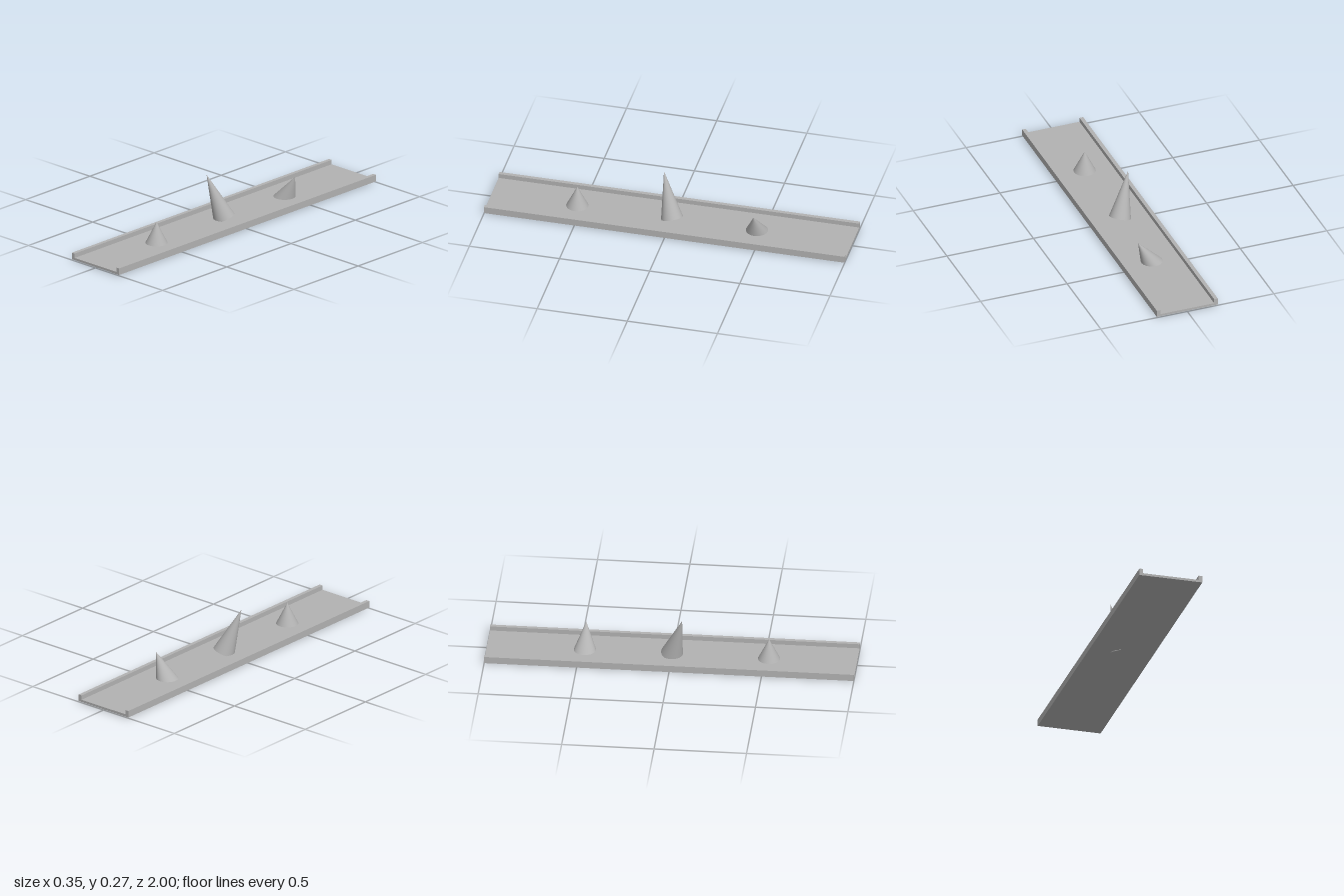
import * as THREE from 'three';

export function createModel() {
  const group = new THREE.Group();
  const grey = new THREE.MeshStandardMaterial({ color: 0xb2b2b2 });
  grey.name = 'grey';

  const add = (name, geometry) => {
    const mesh = new THREE.Mesh(geometry, grey);
    mesh.name = name;
    group.add(mesh);
    return mesh;
  };

  // Long shallow channel: floor and two raised rims in one U-shaped section
  const w = 0.176, inner = 0.155, bottom = 0.004, floor = 0.017, rim = 0.042;
  const section = new THREE.Shape([
    [-w, bottom], [w, bottom], [w, rim], [inner, rim],
    [inner, floor], [-inner, floor], [-inner, rim], [-w, rim],
  ].map(([x, y]) => new THREE.Vector2(x, y)));
  const channel = new THREE.ExtrudeGeometry(section, { depth: 2, bevelEnabled: false });
  channel.translate(0, 0, -1);
  add('channel', channel);

  // Cone with its base centre at the origin
  const cone = (height) =>
    new THREE.ConeGeometry(0.06, height, 48).translate(0, height / 2, 0);

  // Upright front spike
  add('frontSpike', cone(0.12)).position.set(0, 0.017, 0.525);

  // Tall middle spike, tilted as a whole
  const lean = new THREE.Vector3(-0.071, 0.244, 0.062);
  const middle = add('middleSpike', cone(lean.length()));
  middle.position.set(0, 0.021, 0);
  middle.quaternion.setFromUnitVectors(new THREE.Vector3(0, 1, 0), lean.normalize());

  // Back spike, slanted sideways over a level base
  const slanted = cone(0.13);
  slanted.applyMatrix4(new THREE.Matrix4().makeShear(0, 0, 0.079 / 0.13, 0, 0, 0));
  const p = slanted.attributes.position;
  // Keep the slant along +x whatever the height of the vertex
  for (let i = 0; i < p.count; i++) {
    const a = slanted.parameters.radialSegments;
    if (p.getY(i) > 0.12) p.setXYZ(i, 0.079, 0.13, 0);
    else if (a) p.setY(i, 0);
  }
  slanted.computeVertexNormals();
  add('backSpike', slanted).position.set(0, 0.017, -0.471);

  return group;
}
